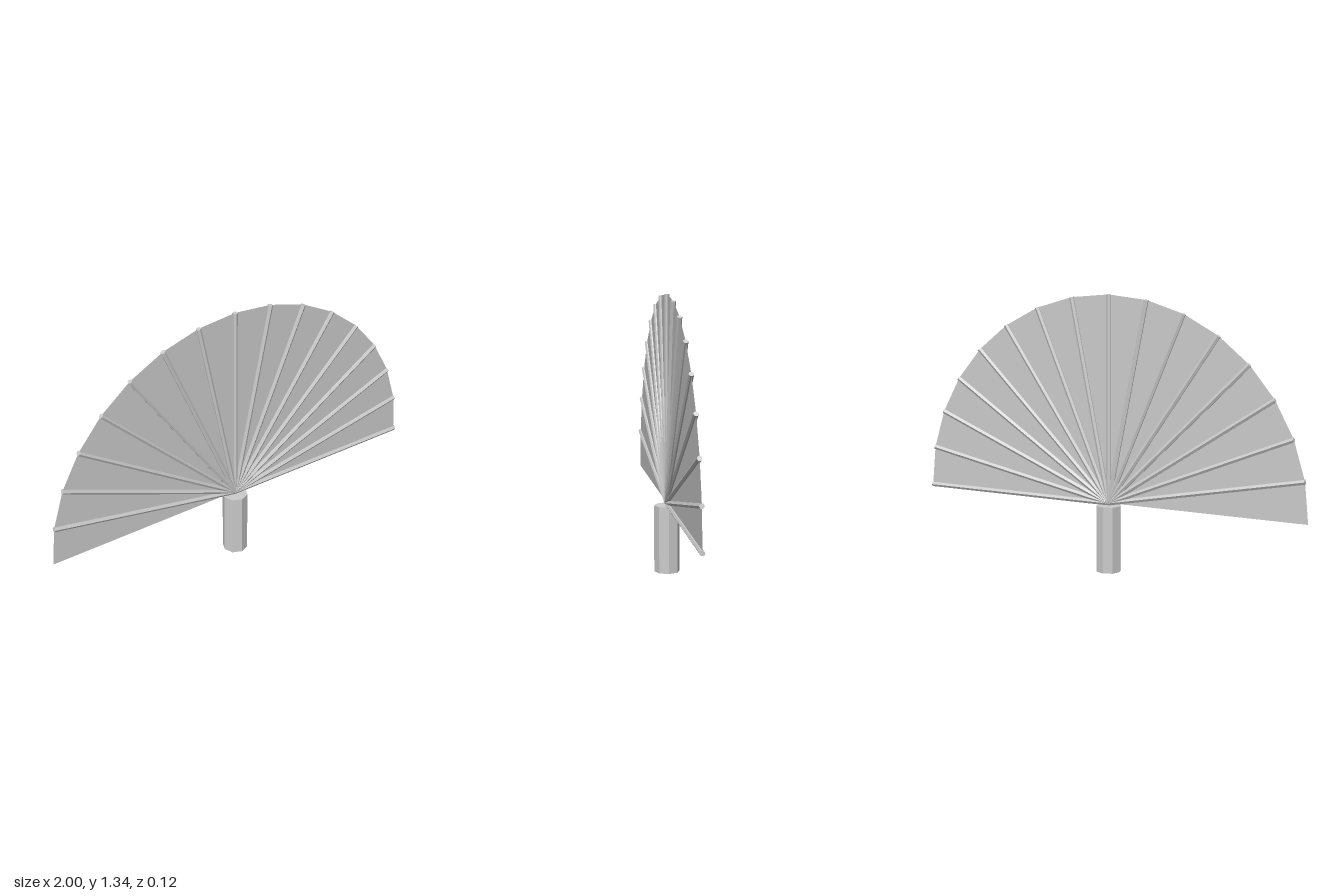
import * as THREE from 'three';

export function createModel() {
  const group = new THREE.Group();
  const solid = new THREE.MeshStandardMaterial({ color: 0xcccccc, flatShading: true });
  const sheet = new THREE.MeshStandardMaterial({ color: 0xcccccc, side: THREE.DoubleSide });
  const SEGMENTS = 16, RADIUS = 1, HANDLE = 0.325;

  // Octagonal handle
  const handle = new THREE.Mesh(new THREE.CylinderGeometry(0.062, 0.062, HANDLE, 8), solid);
  handle.name = 'handle';
  handle.position.y = HANDLE / 2;
  group.add(handle);

  // Opened fan, pivoting just above the handle
  const fan = new THREE.Group();
  fan.name = 'fan';
  fan.position.y = 0.335;
  group.add(fan);

  // Thin half-disc leaf
  const leaf = new THREE.Mesh(new THREE.CircleGeometry(RADIUS, SEGMENTS, 0, Math.PI), sheet);
  leaf.name = 'leaf';
  fan.add(leaf);

  // Hexagonal ribs, one at the start of each segment
  const ribGeometry = new THREE.CylinderGeometry(0.0125, 0.0125, RADIUS, 6);
  ribGeometry.translate(0, RADIUS / 2, 0);
  for (let i = 0; i < SEGMENTS; i++) {
    const rib = new THREE.Mesh(ribGeometry, solid);
    rib.name = 'rib';
    rib.rotation.z = (i / SEGMENTS) * Math.PI - Math.PI / 2;
    fan.add(rib);
  }

  return group;
}
